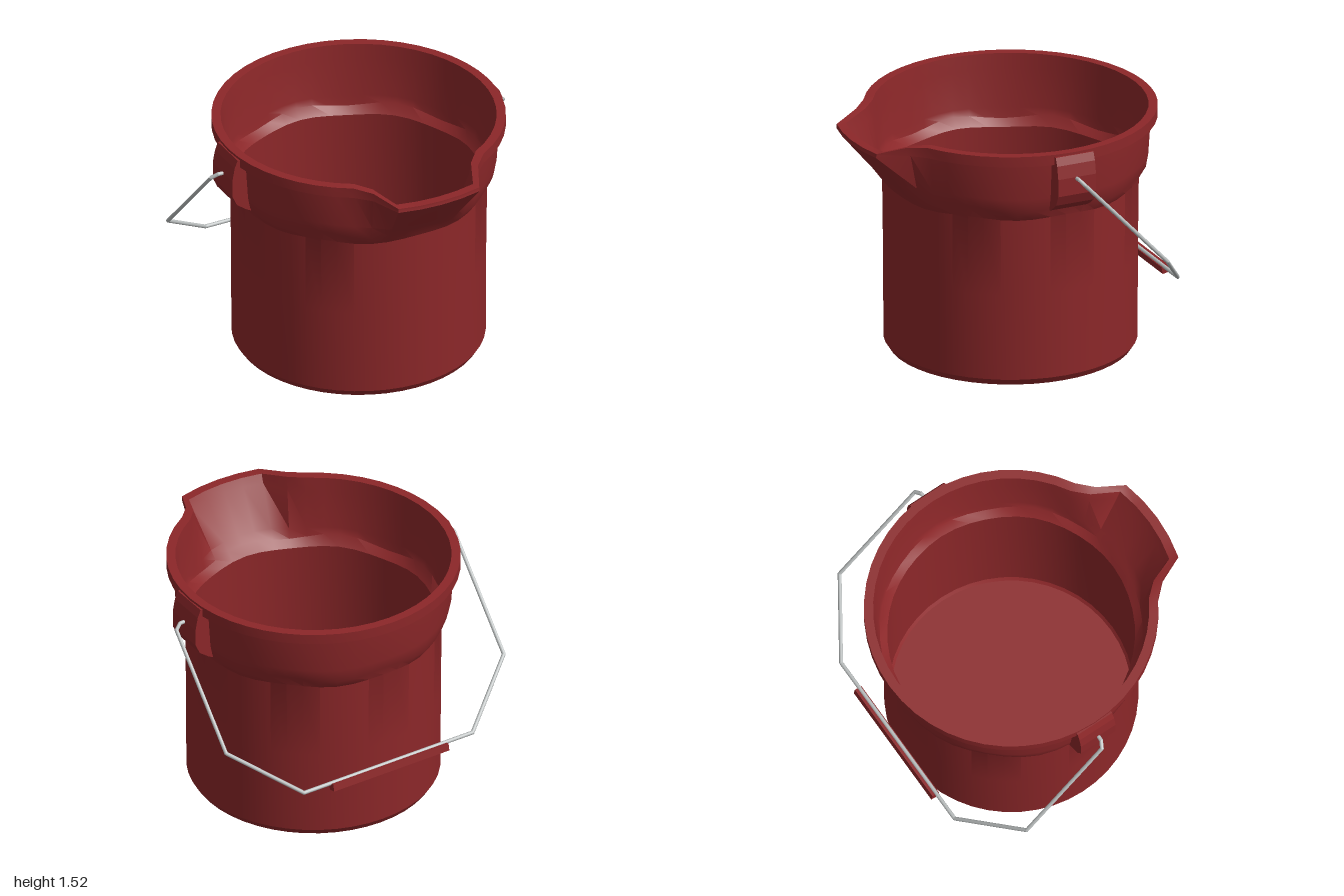
import * as THREE from 'three';
import { toCreasedNormals } from 'three/addons/utils/BufferGeometryUtils.js';

const CENTRE_Z = -0.085;

function bucketGeometry() {
  // [radius, height, spout push, spout drop, scallop], outside up, then inside down
  const rows = [
    [0, 0.015, 0, 0, 0], [0.69, 0.01, 0, 0, 0], [0.735, 0.02, 0, 0, 0], [0.76, 0.06, 0, 0, 0],
    [0.762, 0.6, 0, 0, 0], [0.768, 1.09, 0, 0, 0.4], [0.81, 1.16, 0.03, 0, 1], [0.825, 1.24, 0.3, 0, 0.3],
    [0.84, 1.465, 1.18, 0.01, 0], [0.88, 1.47, 0.95, 0, 0], [0.88, 1.535, 0.95, 0.055, 0],
    [0.825, 1.535, 0.95, 0.055, 0], [0.815, 1.44, 0.85, 0.01, 0], [0.795, 1.2, 0.15, 0, 0.3],
    [0.785, 1.15, 0, 0, 1], [0.74, 1.1, 0, 0, 0.4], [0.735, 0.06, 0, 0, 0], [0.72, 0.04, 0, 0, 0], [0, 0.04, 0, 0, 0],
  ];
  const geo = new THREE.LatheGeometry(rows.map(([r, y]) => new THREE.Vector2(r, y)), 48);
  const pos = geo.attributes.position;
  for (let i = 0; i < pos.count; i++) {
    const [r, y, push, drop, scallop] = rows[i % rows.length];
    const a = Math.floor(i / rows.length) / 48 * Math.PI * 2;
    const fromFront = Math.min(a, Math.PI * 2 - a) * 180 / Math.PI;
    // the pouring spout is full to 15 degrees and fades out by 25
    const t = THREE.MathUtils.clamp((25 - fromFront) / 10, 0, 1);
    const radius = r + 0.185 * push * t;
    pos.setXYZ(i, Math.sin(a) * radius, y - drop * t + scallop * 0.018 * Math.cos(a * 8), Math.cos(a) * radius + CENTRE_Z);
  }
  geo.deleteAttribute('uv');
  geo.deleteAttribute('normal');
  return toCreasedNormals(geo, 0.5);
}

export function createModel() {
  const red = new THREE.MeshStandardMaterial({ color: 0x8c2729 });
  red.name = 'red plastic';
  const steel = new THREE.MeshStandardMaterial({ color: 0xbcc0c0 });
  steel.name = 'steel wire';

  const model = new THREE.Group();
  model.name = 'bucket';
  const add = (geo, mat, name, parent = model) => {
    const mesh = new THREE.Mesh(geo, mat);
    mesh.name = name;
    parent.add(mesh);
    return mesh;
  };

  add(bucketGeometry(), red, 'bucketBody');

  // bulging ears which hold the handle
  const earShape = new THREE.Shape([
    [0.795, 1.15], [0.83, 1.17], [0.89, 1.215], [0.92, 1.28], [0.92, 1.39], [0.905, 1.47], [0.885, 1.52], [0.83, 1.52],
  ].map(([x, y]) => new THREE.Vector2(x, y)));
  for (const side of [1, -1]) {
    const geo = new THREE.ExtrudeGeometry(earShape, { depth: 0.25, bevelEnabled: false });
    geo.translate(0, 0, -0.21);
    if (side < 0) geo.rotateY(Math.PI).translate(0, 0, -0.17);
    add(geo, red, side > 0 ? 'leftEar' : 'rightEar');
  }

  // hanging wire handle, bent from straight lengths
  const handle = new THREE.Group();
  handle.name = 'handle';
  model.add(handle);
  const half = [[0.86, 1.38, -0.08], [0.95, 1.38, -0.085], [0.988, 1.355, -0.105], [0.988, 0.775, -0.65], [0.6, 0.495, -0.905]];
  const path = [...half.map(([x, y, z]) => [-x, y, z]), ...half.slice().reverse()].map((p) => new THREE.Vector3(...p));
  const up = new THREE.Vector3(0, 1, 0);
  for (let i = 0; i < path.length - 1; i++) {
    const dir = path[i + 1].clone().sub(path[i]);
    const rod = add(new THREE.CylinderGeometry(0.012, 0.012, dir.length(), 8), steel, 'handleWire', handle);
    rod.position.copy(path[i]).addScaledVector(dir, 0.5);
    rod.quaternion.setFromUnitVectors(up, dir.normalize());
    if (i > 0) add(new THREE.SphereGeometry(0.012, 8, 6), steel, 'handleBend', handle).position.copy(path[i]);
  }

  // hand grip around the lowest length of wire
  const grip = add(new THREE.BoxGeometry(0.82, 0.045, 0.048), red, 'handGrip', handle);
  grip.position.set(0, 0.474, -0.916);
  grip.rotation.x = 0.2;

  return model;
}
